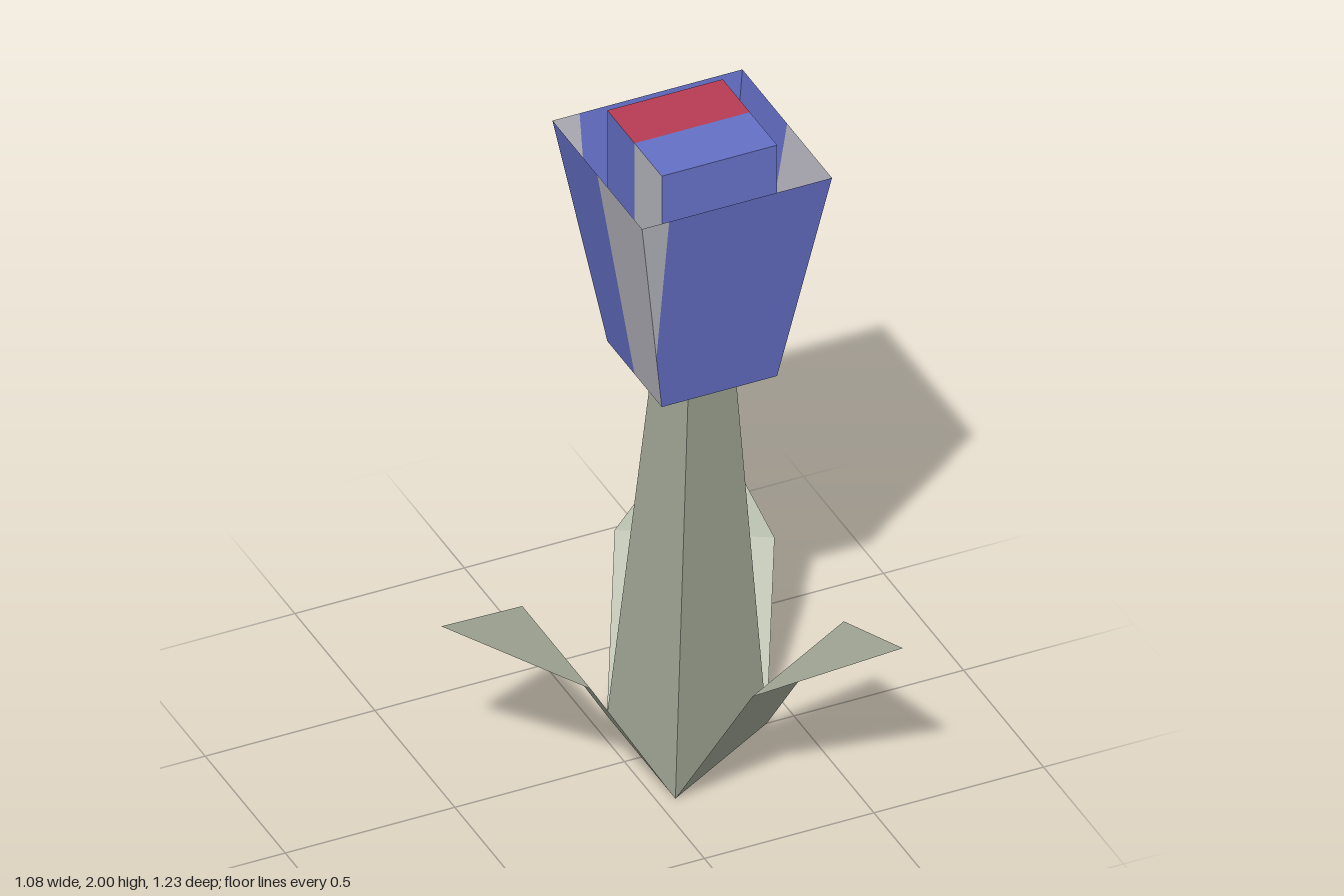
import * as THREE from 'three';

const paint = (name, color) => new THREE.MeshStandardMaterial({ name, color, side: THREE.DoubleSide });

// Flat mesh from convex polygons, each a loop of [x, y, z] corners
function panels(name, polygons, material) {
  const positions = [];
  for (const p of polygons) {
    for (let i = 1; i < p.length - 1; i++) positions.push(...p[0], ...p[i], ...p[i + 1]);
  }
  const geometry = new THREE.BufferGeometry();
  geometry.setAttribute('position', new THREE.Float32BufferAttribute(positions, 3));
  geometry.computeVertexNormals();
  const mesh = new THREE.Mesh(geometry, material);
  mesh.name = name;
  return mesh;
}

export function createModel() {
  const green = paint('sage green', 0xabb19f);
  const blue = paint('petal blue', 0x6671c8);
  const grey = paint('petal grey', 0xbab9c3);
  const red = paint('core red', 0xb83c54);
  const model = new THREE.Group();
  model.name = 'flower';

  // Three-sided tapering stem, leaning slightly towards +x
  const baseX = 0.173, headX = 0.2, headY = 1.25;
  const stemGeo = new THREE.CylinderGeometry(0.121, 0.247, headY, 3, 1, false, Math.PI / 2).toNonIndexed();
  stemGeo.translate(0, headY / 2, 0);
  const pos = stemGeo.attributes.position;
  for (let i = 0; i < pos.count; i++) {
    pos.setX(i, pos.getX(i) + baseX + (headX - baseX) * pos.getY(i) / headY);
  }
  stemGeo.computeVertexNormals();
  const stem = new THREE.Mesh(stemGeo, green);
  stem.name = 'stem';
  model.add(stem);

  // Folded leaves, one along each edge of the stem base
  const w = 0.214;
  for (let i = 0; i < 3; i++) {
    const leaf = panels('leaf', [
      [[-0.1235, 0, w], [-0.1235, 0, -w], [-0.373, 0.43, -w], [-0.373, 0.43, w]],
      [[-0.373, 0.43, w], [-0.373, 0.43, -w], [-0.713, 0.6, 0]],
    ], green);
    leaf.position.x = baseX;
    leaf.rotation.y = i * Math.PI * 2 / 3;
    model.add(leaf);
  }

  // Open flared petals: front and back walls have a grey corner where x < 0
  const rim = 1.93, inner = 0.17, outer = 0.28;
  const x0 = headX - inner, x1 = headX + inner, X0 = headX - outer, X1 = headX + outer;
  const t = x0 / (x0 - X0);
  for (const s of [1, -1]) {
    const order = (p) => (s > 0 ? p : p.reverse());
    const split = [0, headY + (rim - headY) * t, s * (inner + (outer - inner) * t)];
    const splitTop = [0, rim, s * outer];
    model.add(panels('petalWall', [order([
      [x0, headY, s * inner], [x1, headY, s * inner], [X1, rim, s * outer], splitTop, split,
    ])], blue));
    model.add(panels('petalCorner', [order([split, splitTop, [X0, rim, s * outer]])], grey));

    // Side walls: grey front halves, blue back halves
    model.add(panels('petalSide', [
      order([[x1, headY, s * inner], [x1, headY, 0], [X1, rim, 0], [X1, rim, s * outer]]),
      order([[x0, headY, 0], [x0, headY, s * inner], [X0, rim, s * outer], [X0, rim, 0]]),
    ], s > 0 ? grey : blue));

    // Half of the square core, ending just above the rim
    const end = s > 0 ? blue : red, side = s > 0 ? grey : blue;
    const core = new THREE.Mesh(
      new THREE.BoxGeometry(inner * 2, 2 - headY, inner),
      [side, side, end, end, blue, blue]);
    core.name = s > 0 ? 'coreFront' : 'coreBack';
    core.position.set(headX, (2 + headY) / 2, s * inner / 2);
    model.add(core);
  }
  return model;
}
